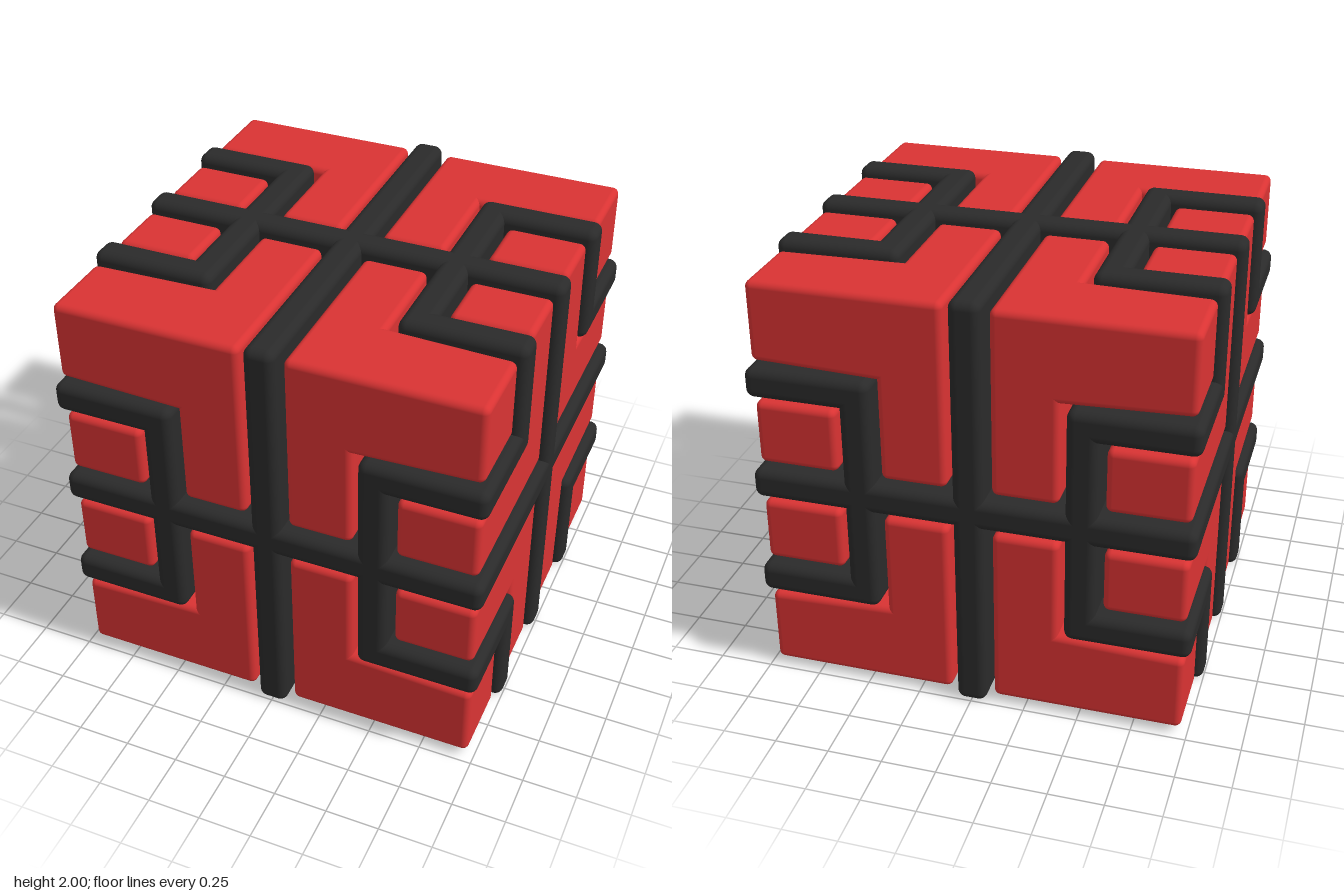
import * as THREE from 'three';
import { RoundedBoxGeometry } from 'three/addons/geometries/RoundedBoxGeometry.js';

const red = new THREE.MeshStandardMaterial({ color: 0xd93333 });
const black = new THREE.MeshStandardMaterial({ color: 0x2a2a2a });

// Rounded box between two corners given per axis as [min, max]
function block(x, y, z, radius) {
  const geo = new RoundedBoxGeometry(x[1] - x[0], y[1] - y[0], z[1] - z[0], 4, radius);
  return geo.translate((x[0] + x[1]) / 2, (y[0] + y[1]) / 2, (z[0] + z[1]) / 2);
}

// Widen a red block a little toward the middle of the cube: the side of `axis`
// beyond `limit` (in direction dir) shifts more the lower the `along` coordinate is
function flare(geo, axis, limit, dir, along, amount = 0.03) {
  const p = geo.attributes.position;
  for (let i = 0; i < p.count; i++) {
    const v = p.getComponent(i, axis);
    if ((v - limit) * dir > 0) {
      const t = (0.97 - p.getComponent(i, along)) / 0.87;
      p.setComponent(i, axis, v + dir * amount * t);
    }
  }
  return geo;
}

// Mirror a geometry into the octant given by three signs, keeping the winding
function toOctant(geo, sx, sy, sz) {
  geo.scale(sx, sy, sz);
  if (sx * sy * sz < 0) {
    for (const attr of Object.values(geo.attributes)) {
      const n = attr.itemSize;
      for (let i = 0; i < attr.count; i += 3) {
        for (let k = 0; k < n; k++) {
          const a = attr.getComponent(i + 1, k);
          attr.setComponent(i + 1, k, attr.getComponent(i + 2, k));
          attr.setComponent(i + 2, k, a);
        }
      }
    }
  }
  return geo;
}

export function createModel() {
  const model = new THREE.Group();
  model.name = 'puzzleCube';
  const body = new THREE.Group();
  body.position.y = 1;
  model.add(body);

  const add = (name, geo, material) => {
    const mesh = new THREE.Mesh(geo, material);
    mesh.name = name;
    body.add(mesh);
  };

  const full = [-1, 1], bar = [-0.07, 0.07], mid = [-0.57, 0.57];
  const R = 0.04;

  // Inner core and the three full slabs that form the crosses on every face
  add('core', new THREE.BoxGeometry(1.1, 1.1, 1.1), black);
  add('centreSlabX', block(bar, full, full, R), black);
  add('centreSlabY', block(full, bar, full, R), black);
  add('centreSlabZ', block(full, full, bar, R), black);

  // Upright parts of the brackets on front, back, top and bottom
  for (const s of [-1, 1]) {
    const x = [s * 0.5 - 0.07, s * 0.5 + 0.07];
    add('bracketSlabFrontBack', block(x, mid, full, R), black);
    add('bracketSlabTopBottom', block(x, full, mid, R), black);
  }

  const thin = [0.43, 0.57], outer = [0.43, 1];
  const far = [0.6, 0.97], near = [0.1, 0.4], long = [0.1, 0.97];
  const r = 0.03;

  for (const sx of [-1, 1]) for (const sy of [-1, 1]) for (const sz of [-1, 1]) {
    const put = (name, geo, material) => add(name, toOctant(geo, sx, sy, sz), material);

    // Bracket arms wrapping round the side edges
    put('bracketArmLevel', block(outer, thin, outer, R), black);
    put('bracketArmUpright', block(outer, outer, thin, R), black);

    // Corner piece: a beam along x with a leg on two faces
    let beam = flare(block(long, far, far, r), 1, 0.75, -1, 0);
    beam = flare(beam, 2, 0.75, -1, 0);
    put('cornerBeam', beam, red);
    put('cornerLegFront', block(near, long, far, r), red);
    put('cornerLegTop', block(near, far, long, r), red);

    // Side piece: two beams making an L that ends in squares on the next faces
    put('sideBeamLevel', flare(block(far, near, long, r), 1, 0.25, 1, 2), red);
    put('sideBeamUpright', flare(block(far, long, near, r), 2, 0.25, 1, 1), red);
  }
  return model;
}
